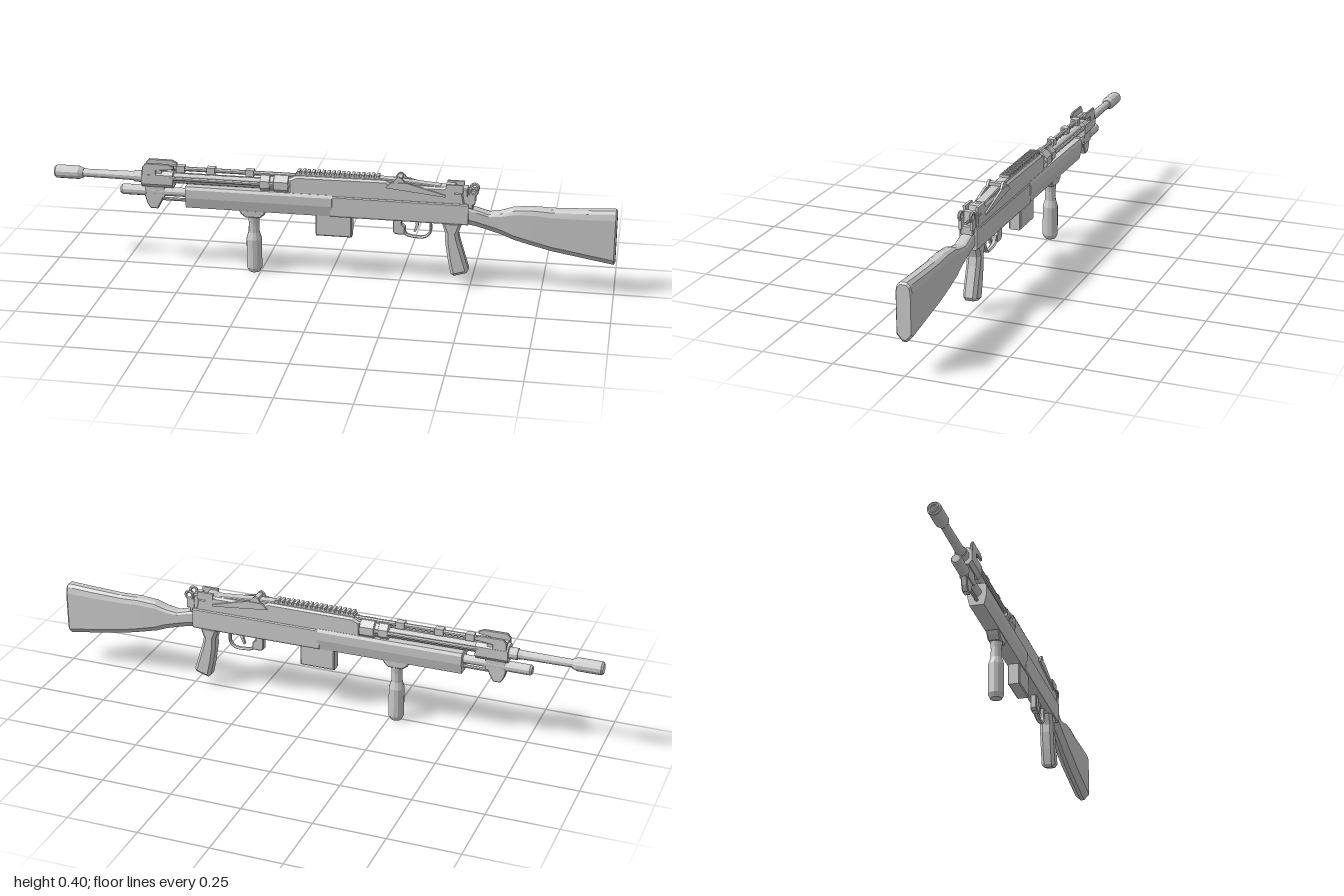
import * as THREE from 'three';

const grey = new THREE.MeshStandardMaterial({ color: 0xcccccc, flatShading: true });

export function createModel() {
  const model = new THREE.Group();
  model.name = 'rifle';

  const add = (name, geometry) => {
    const mesh = new THREE.Mesh(geometry, grey);
    mesh.name = name;
    model.add(mesh);
    return mesh;
  };
  const toShape = pts => new THREE.Shape(pts.map(p => new THREE.Vector2(p[0], p[1])));
  const box = (name, x0, x1, y0, y1, width, z = 0) =>
    add(name, new THREE.BoxGeometry(x1 - x0, y1 - y0, width).translate((x0 + x1) / 2, (y0 + y1) / 2, z));
  // Side outline in x, y given a width across z
  const plate = (name, pts, width, bevel = 0, z = 0, holes = []) => {
    const shape = pts.isShape ? pts : toShape(pts);
    shape.holes.push(...holes.map(toShape));
    const geo = new THREE.ExtrudeGeometry(shape, {
      depth: width - 2 * bevel, bevelEnabled: bevel > 0, bevelThickness: bevel,
      bevelSize: bevel, bevelOffset: -bevel, bevelSegments: 1, curveSegments: 8,
    });
    return add(name, geo.translate(0, 0, z - width / 2 + bevel));
  };
  // Symmetric half section [z, y] run along x
  const beam = (name, half, x0, x1) => {
    const pts = [...half, ...half.map(([z, y]) => [-z, y]).reverse()];
    const geo = new THREE.ExtrudeGeometry(toShape(pts), { depth: x1 - x0, bevelEnabled: false });
    return add(name, geo.rotateY(Math.PI / 2).translate(x0, 0, 0));
  };
  // Round part turned about the x axis from [x, radius] steps
  const turned = (name, steps, y, z = 0, sides = 12) => {
    const geo = new THREE.LatheGeometry(steps.map(([x, r]) => new THREE.Vector2(r, x)), sides);
    return add(name, geo.rotateY(Math.PI / sides).rotateZ(-Math.PI / 2).translate(0, y, z));
  };

  // Barrel and muzzle
  turned('barrel', [[-0.93, 0], [-0.93, 0.014], [-0.72, 0.016], [-0.7, 0.018], [-0.1, 0.018], [-0.1, 0]], 0.333);
  turned('muzzleDevice', [[-0.94, 0], [-0.995, 0.012], [-1, 0.018], [-0.993, 0.024], [-0.91, 0.024],
    [-0.893, 0.017], [-0.893, 0]], 0.333);
  turned('barrelCollar', [[-0.71, 0], [-0.705, 0.021], [-0.66, 0.021], [-0.655, 0.017], [-0.655, 0]], 0.333);

  // Gas tube under the barrel
  turned('gasTube', [[-0.757, 0], [-0.757, 0.014], [-0.75, 0.019], [-0.665, 0.019], [-0.66, 0.016],
    [-0.5, 0.016], [-0.5, 0]], 0.281);
  turned('lowerRod', [[-0.66, 0], [-0.66, 0.006], [-0.5, 0.006], [-0.5, 0]], 0.253, 0, 8);
  beam('gasBlock', [[0.018, 0.302], [0.03, 0.315], [0.03, 0.35], [0.018, 0.362]], -0.675, -0.56);
  box('gasBlockBridge', -0.665, -0.595, 0.262, 0.31, 0.03);
  plate('barrelLug', [[-0.67, 0.27], [-0.66, 0.235], [-0.648, 0.217], [-0.622, 0.217], [-0.607, 0.245],
    [-0.597, 0.27]], 0.022, 0.003);

  // Front sight
  for (const s of [-1, 1]) {
    plate('frontSightEar', [[-0.67, 0.34], [-0.67, 0.378], [-0.658, 0.392], [-0.575, 0.392], [-0.555, 0.383],
      [-0.555, 0.373], [-0.62, 0.366], [-0.62, 0.34]], 0.009, 0.002, s * 0.025);
  }
  box('frontSightBase', -0.665, -0.6, 0.352, 0.368, 0.05);
  turned('upperRod', [[-0.62, 0], [-0.62, 0.008], [-0.12, 0.008], [-0.12, 0]], 0.37, 0, 8);
  for (const x of [-0.55, -0.44, -0.3]) box('rodClip', x, x + 0.03, 0.358, 0.382, 0.026);

  // Slim rods either side of the barrel
  for (const s of [-1, 1]) {
    turned('sideRod', [[-0.57, 0], [-0.57, 0.007], [-0.14, 0.007], [-0.14, 0]], 0.339, s * 0.024, 8);
  }

  // Stepped collar ahead of the receiver
  turned('receiverCollar', [[-0.247, 0], [-0.245, 0.033], [-0.212, 0.033], [-0.21, 0.029], [-0.198, 0.029],
    [-0.195, 0.037], [-0.145, 0.037], [-0.143, 0]], 0.338, 0, 8);

  // Handguard and receiver
  beam('handguard', [[0.025, 0.234], [0.034, 0.272], [0.034, 0.303], [0.028, 0.313]], -0.515, 0.012);
  beam('lowerReceiver', [[0.028, 0.234], [0.031, 0.24], [0.031, 0.306], [0.028, 0.31]], 0.005, 0.49);
  plate('upperReceiver', [[-0.145, 0.3], [-0.145, 0.362], [-0.115, 0.376], [0.2, 0.378], [0.22, 0.366],
    [0.4, 0.366], [0.415, 0.372], [0.44, 0.372], [0.446, 0.352], [0.47, 0.352], [0.48, 0.3]], 0.054, 0.007);

  // Toothed top rail
  box('railBase', -0.12, 0.18, 0.372, 0.382, 0.032);
  for (let i = 0; i < 17; i++) {
    const x = -0.115 + i * 0.0175;
    box('railTooth', x, x + 0.01, 0.38, 0.391, 0.034);
  }

  // Sloping sight leaf with raised rear notch
  plate('sightLeaf', [[0.17, 0.37], [0.18, 0.383], [0.24, 0.38], [0.39, 0.368], [0.39, 0.36], [0.2, 0.36]], 0.036, 0.003);
  for (const s of [-1, 1]) {
    plate('sightNotch', [[0.222, 0.37], [0.236, 0.391], [0.246, 0.397], [0.256, 0.391], [0.275, 0.37]],
      0.008, 0, s * 0.026);
    plate('sightRamp', [[0.2, 0.355], [0.22, 0.375], [0.275, 0.376], [0.41, 0.34], [0.41, 0.333]],
      0.008, 0, s * 0.029);
    box('rearRail', 0.41, 0.47, 0.35, 0.378, 0.009, s * 0.023);
  }
  box('sightCrossbar', 0.238, 0.256, 0.378, 0.39, 0.05);

  // Rear post with ringed lugs
  plate('rearPost', [[0.465, 0.3], [0.465, 0.365], [0.485, 0.365], [0.49, 0.32], [0.505, 0.32], [0.505, 0.29]], 0.046, 0.004);
  for (const s of [-1, 1]) {
    box('rearLug', 0.485, 0.512, 0.31, 0.345, 0.01, s * 0.02);
    add('rearRing', new THREE.TorusGeometry(0.013, 0.0055, 6, 12).translate(0.505, 0.357, s * 0.02));
  }
  turned('rearPin', [[0.483, 0], [0.483, 0.005], [0.513, 0.005], [0.513, 0]], 0.333, 0, 8);

  // Magazine
  plate('magazine', [[-0.048, 0.24], [-0.048, 0.157], [0.08, 0.157], [0.08, 0.24]], 0.044, 0.004);

  // Trigger guard and trigger
  const guardPath = new THREE.CatmullRomCurve3([[0.262, 0.2], [0.27, 0.178], [0.3, 0.17], [0.338, 0.172],
    [0.356, 0.19], [0.356, 0.237]].map(p => new THREE.Vector3(p[0], p[1], 0)));
  add('triggerGuard', new THREE.TubeGeometry(guardPath, 20, 0.005, 6).scale(1, 1, 2));
  plate('guardBlock', [[0.225, 0.24], [0.225, 0.185], [0.235, 0.177], [0.268, 0.177], [0.268, 0.205],
    [0.256, 0.215], [0.256, 0.24]], 0.024, 0.003);
  plate('trigger', [[0.3, 0.24], [0.305, 0.215], [0.298, 0.19], [0.304, 0.188], [0.315, 0.212], [0.316, 0.24]], 0.01);

  // Pistol grip
  plate('pistolGrip', [[0.395, 0.24], [0.41, 0.195], [0.41, 0.165], [0.42, 0.1], [0.432, 0.045], [0.442, 0.036],
    [0.488, 0.05], [0.494, 0.062], [0.462, 0.165], [0.455, 0.195], [0.47, 0.24]], 0.05, 0.011);

  // Front grip, turned about the vertical axis
  const gripSteps = [[0, 0], [0.02, 0], [0.028, 0.016], [0.028, 0.125], [0.02, 0.15], [0.019, 0.185],
    [0.022, 0.212], [0, 0.212]];
  add('frontGrip', new THREE.LatheGeometry(gripSteps.map(p => new THREE.Vector2(p[0], p[1])), 12).translate(-0.274, 0, 0));
  plate('frontGripMount', [[-0.325, 0.236], [-0.318, 0.222], [-0.3, 0.208], [-0.248, 0.208], [-0.232, 0.222],
    [-0.225, 0.236]], 0.046, 0.004);

  // Shoulder stock lofted through sections of [x, top, bottom, half width]
  const sections = [
    [0.485, 0.298, 0.23, 0.023], [0.515, 0.291, 0.225, 0.024], [0.56, 0.278, 0.213, 0.024],
    [0.605, 0.286, 0.2, 0.025], [0.645, 0.3, 0.184, 0.027], [0.71, 0.306, 0.167, 0.028],
    [0.78, 0.304, 0.15, 0.028], [0.9, 0.309, 0.13, 0.028], [0.985, 0.314, 0.116, 0.028],
    [0.994, 0.314, 0.114, 0.028], [1, 0.307, 0.122, 0.024],
  ];
  const pos = [], index = [];
  for (const [x, top, bottom, w] of sections) {
    const h = top - bottom;
    const half = [[0.4 * w, top], [0.8 * w, top - 0.05 * h], [w, top - 0.16 * h],
      [w, bottom + 0.022], [0.25 * w, bottom]];
    for (const [z, y] of half) pos.push(x, y, z);
    for (const [z, y] of half.reverse()) pos.push(x, y, -z);
  }
  const n = 10, last = (sections.length - 1) * n;
  for (let i = 0; i < last; i += n) {
    for (let j = 0; j < n; j++) {
      const a = i + j, b = i + (j + 1) % n;
      index.push(a, b, a + n, b, b + n, a + n);
    }
  }
  for (let j = 1; j < n - 1; j++) index.push(0, j + 1, j, last, last + j, last + j + 1);
  const stock = new THREE.BufferGeometry();
  stock.setAttribute('position', new THREE.Float32BufferAttribute(pos, 3));
  stock.setIndex(index);
  stock.computeVertexNormals();
  add('stock', stock);

  return model;
}
